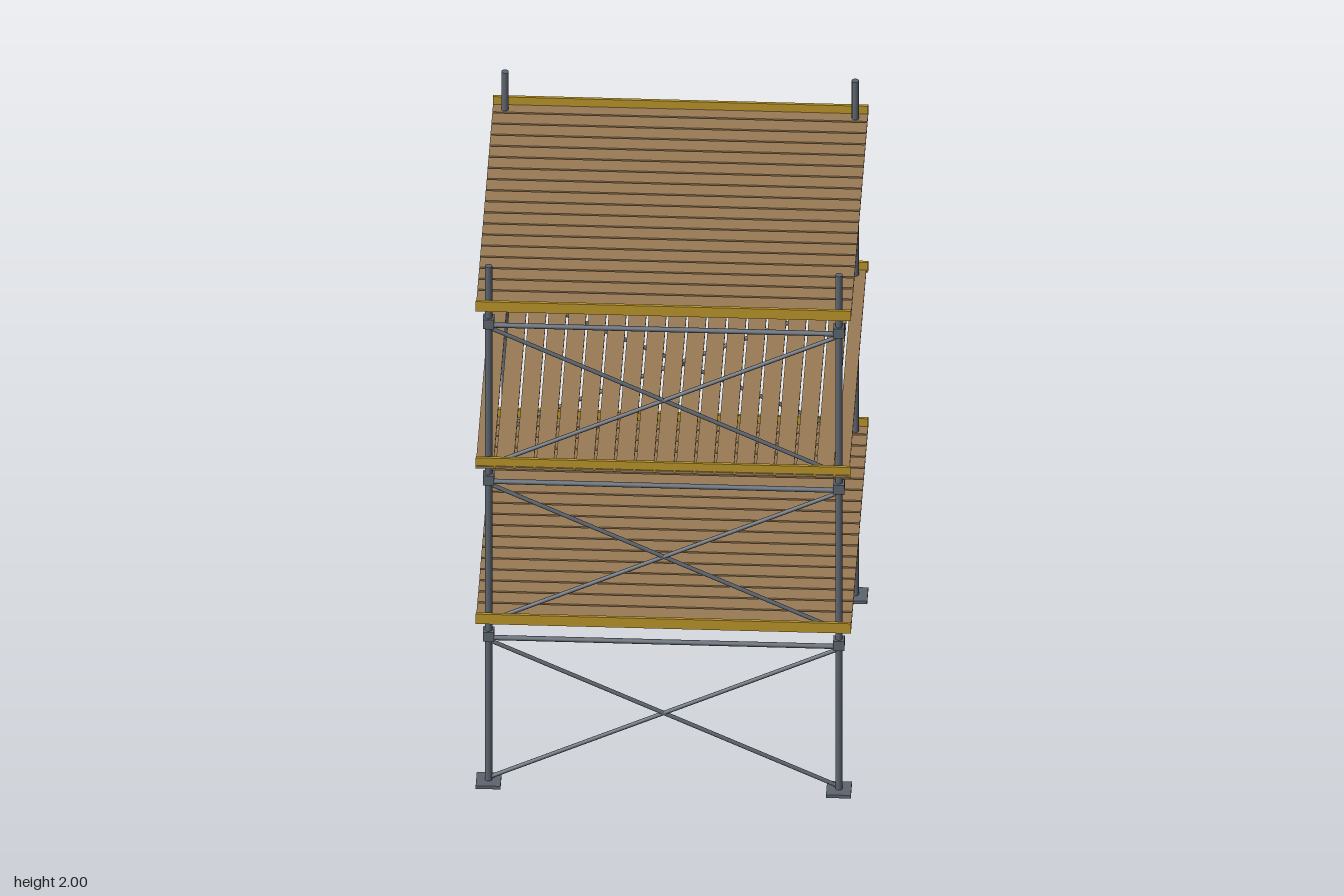
import * as THREE from 'three';

export function createModel() {
  const model = new THREE.Group();
  model.name = 'scaffoldTower';

  const mat = (name, color) => {
    const m = new THREE.MeshStandardMaterial({ color });
    m.name = name;
    return m;
  };
  const steel = mat('steel', 0x5d656f);
  const wood = mat('plankWood', 0x9a7b55);
  const yellow = mat('toeBoardYellow', 0xb8942a);

  const P = 0.565;          // pole offset from the centre
  const EDGE = 0.605;       // half width of the decks
  const LIFT = 0.605;       // height of one level

  const add = (name, geometry, material, parent = model) => {
    const mesh = new THREE.Mesh(geometry, material);
    mesh.name = name;
    parent.add(mesh);
    return mesh;
  };
  const box = (name, w, h, d, x, y, z, material, parent) => {
    const mesh = add(name, new THREE.BoxGeometry(w, h, d), material, parent);
    mesh.position.set(x, y, z);
    return mesh;
  };

  // Round tube between two points
  const tube = (name, a, b, radius, parent) => {
    const dir = b.clone().sub(a);
    const mesh = add(name, new THREE.CylinderGeometry(radius, radius, dir.length(), 12), steel, parent);
    mesh.position.copy(a).add(b).multiplyScalar(0.5);
    mesh.quaternion.setFromUnitVectors(new THREE.Vector3(0, 1, 0), dir.normalize());
    return mesh;
  };
  const v = (x, y, z) => new THREE.Vector3(x, y, z);

  // Corner poles with base plates and a coupler per level
  for (const x of [-P, P]) {
    for (const z of [-P, P]) {
      tube('pole', v(x, 0, z), v(x, 2, z), 0.0118);
      box('basePlate', 0.08, 0.012, 0.08, x, 0.006, z, steel);
      for (let i = 0; i < 3; i++) {
        box('coupler', 0.036, 0.036, 0.036, x, 0.574 + i * LIFT, z, steel);
      }
    }
  }

  // Deck of planks running along x; the last plank is cut to fit
  const makeDeck = () => {
    const deck = new THREE.Group();
    const pitch = 0.0645, width = 0.057;
    for (let z = -EDGE; z < EDGE - 0.01; z += pitch) {
      const w = Math.min(width, EDGE - 0.006 - z);
      box('plank', 2 * EDGE, 0.009, w, 0, 0, z + w / 2, wood, deck);
    }
    return deck;
  };

  for (let i = 0; i < 3; i++) {
    const y = i * LIFT;
    const level = new THREE.Group();
    level.name = 'level' + (i + 1);
    level.position.y = y;
    model.add(level);

    // Planks turn by a quarter on the middle level
    const deck = makeDeck();
    deck.name = 'deck';
    deck.position.y = 0.64;
    if (i === 1) deck.rotation.y = Math.PI / 2;
    level.add(deck);

    // Ledger, cross braces and toe board on the front and back
    for (const s of [-1, 1]) {
      const z = s * P;
      tube('ledger', v(-P, 0.561, z), v(P, 0.561, z), 0.0085, level);
      tube('brace', v(-P, 0.02, z), v(P, 0.552, z), 0.0068, level);
      tube('brace', v(P, 0.02, z), v(-P, 0.552, z), 0.0068, level);
      box('toeBoard', 2 * EDGE, 0.038, 0.01, 0, 0.655, s * 0.596, yellow, level);
    }
  }
  // Middle-level planks start at the same corner as the others
  model.getObjectByName('level2').getObjectByName('deck').position.x = 0;

  return model;
}
